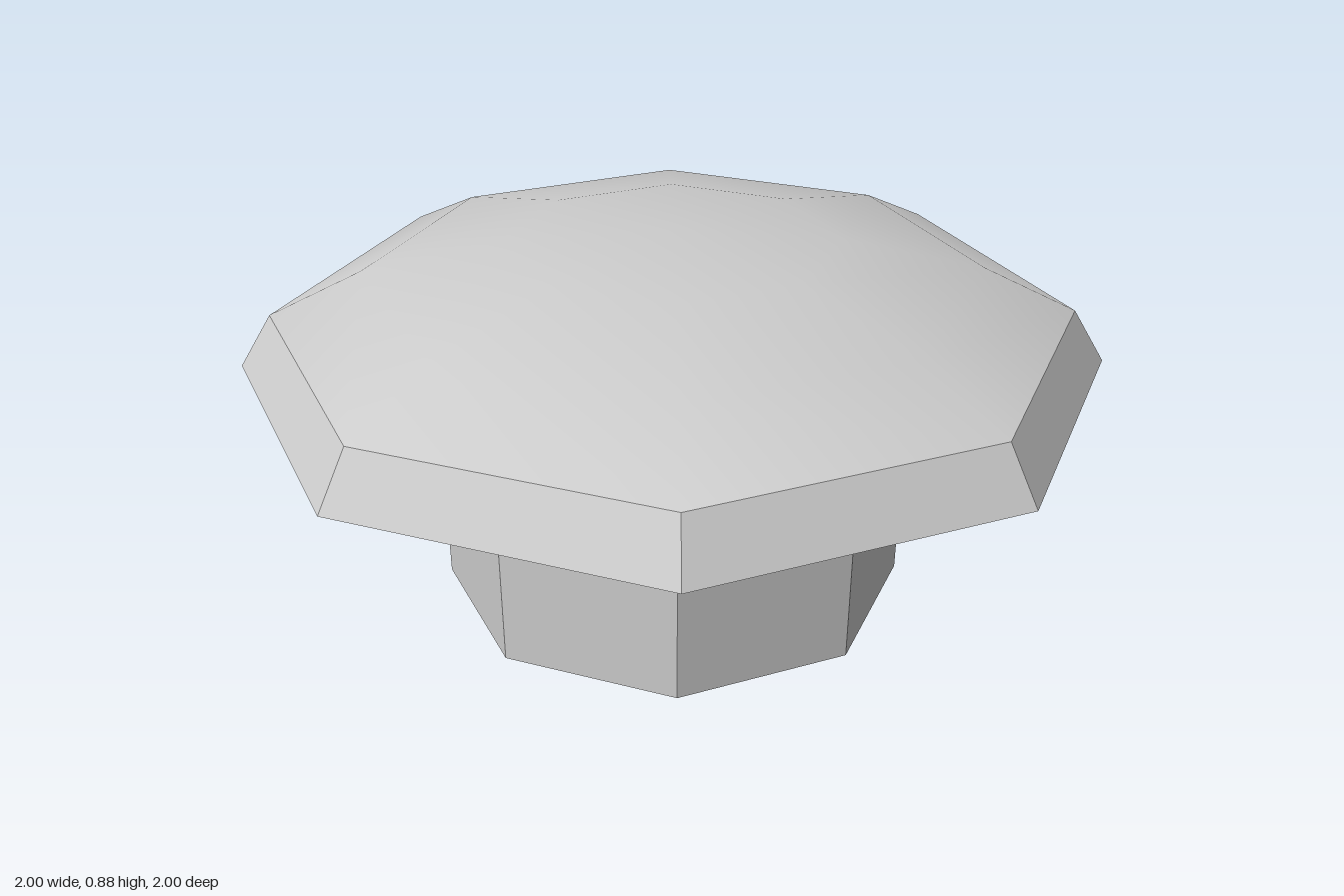
import * as THREE from 'three';
import { toCreasedNormals } from 'three/addons/utils/BufferGeometryUtils.js';

const SIDES = 8;

// Eight-sided turned part from [radius, height] pairs, listed bottom to top
function turned(name, profile, material) {
  const points = profile.map(([r, y]) => new THREE.Vector2(r, y));
  const geometry = new THREE.LatheGeometry(points, SIDES);
  const mesh = new THREE.Mesh(toCreasedNormals(geometry, THREE.MathUtils.degToRad(30)), material);
  mesh.name = name;
  return mesh;
}

export function createModel() {
  const grey = new THREE.MeshStandardMaterial({ color: 0xcccccc });
  grey.name = 'light grey';

  const group = new THREE.Group();
  group.name = 'knob';

  // Slightly flared stem with a closed base
  group.add(turned('stem', [[0, 0], [0.545, 0], [0.555, 0.5]], grey));

  // Cap: shallow underside, then a flattened half-dome with a bevelled rim
  const capProfile = [[0.555, 0.5]];
  for (let i = 0; i <= 4; i++) {
    const a = (i * Math.PI) / 8;
    capProfile.push([i === 4 ? 0 : Math.cos(a), 0.555 + 0.33 * Math.sin(a)]);
  }
  group.add(turned('cap', capProfile, grey));

  return group;
}
